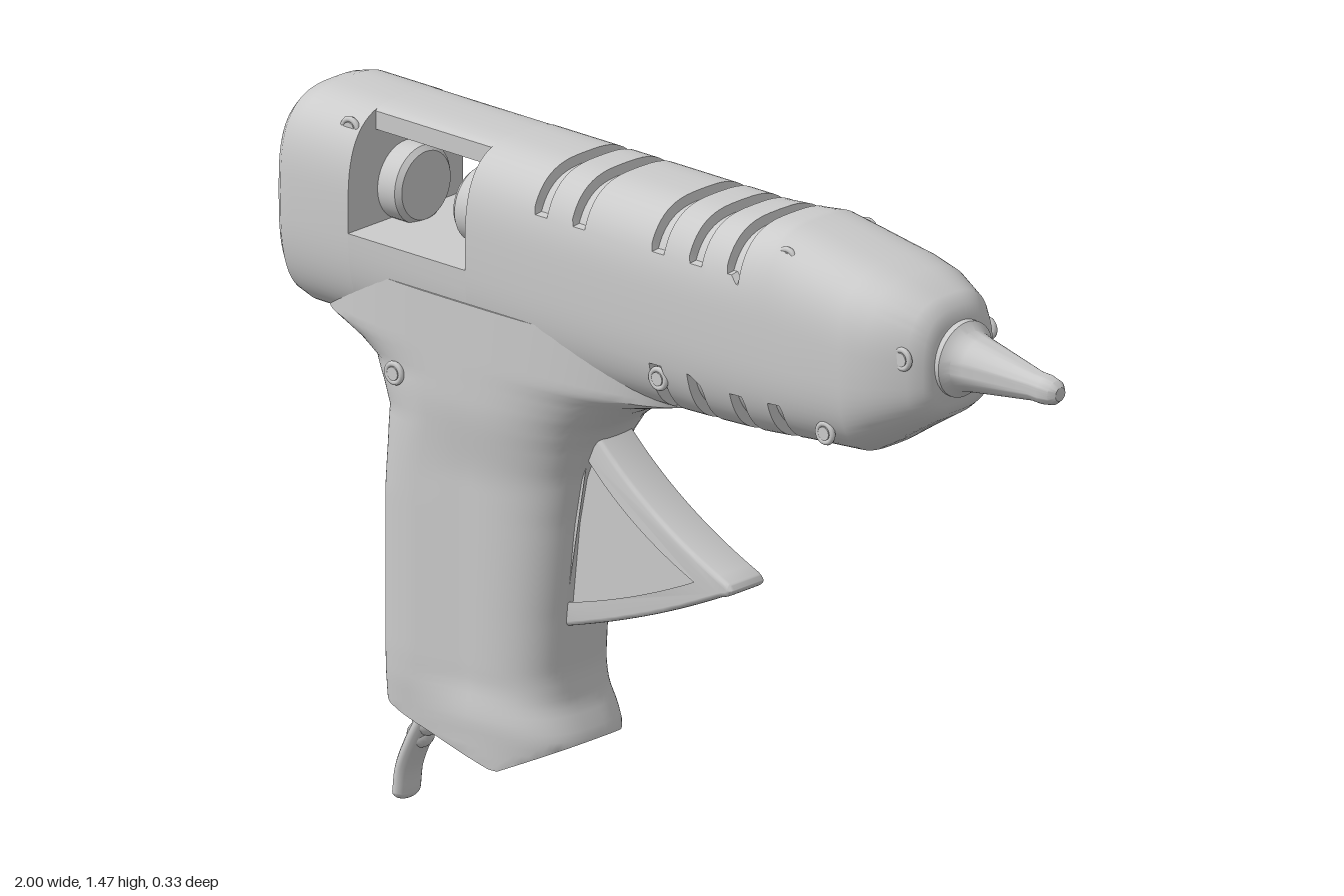
import * as THREE from 'three';
import { toCreasedNormals } from 'three/addons/utils/BufferGeometryUtils.js';

const material = new THREE.MeshStandardMaterial({ color: 0xcccccc });
const { lerp, smoothstep, clamp } = THREE.MathUtils;
const SEG = 72;

function add(parent, name, geometry, x = 0, y = 0, z = 0) {
  const mesh = new THREE.Mesh(geometry, material);
  mesh.name = name;
  mesh.position.set(x, y, z);
  parent.add(mesh);
  return mesh;
}

// Skin a list of closed rings of [x, y, z] points and cap both ends
function loft(rings, startCentre) {
  const n = rings[0].length, pos = rings.flat(2), index = [];
  const mean = r => [0, 1, 2].map(k => r.reduce((s, p) => s + p[k], 0) / n);
  const last = rings.length - 1, c0 = rings.length * n, c1 = c0 + 1;
  pos.push(...(startCentre || mean(rings[0])), ...mean(rings[last]));
  for (let j = 0; j < n; j++) {
    const k = (j + 1) % n;
    for (let i = 0; i < last; i++) {
      const a = i * n + j, b = i * n + k;
      index.push(a, a + n, b, b, a + n, b + n);
    }
    index.push(c0, j, k, c1, last * n + k, last * n + j);
  }
  const g = new THREE.BufferGeometry();
  g.setAttribute('position', new THREE.Float32BufferAttribute(pos, 3));
  g.setIndex(index);
  return toCreasedNormals(g, 0.6);
}

const power = (v, n) => Math.sign(v) * Math.abs(v) ** (2 / n);

// Look up a row of values by its first column
function sample(rows, t) {
  let i = 0;
  while (i < rows.length - 2 && t > rows[i + 1][0]) i++;
  const a = rows[i], b = rows[i + 1];
  const f = clamp((t - a[0]) / (b[0] - a[0]), 0, 1);
  return a.map((v, k) => lerp(v, b[k], f));
}

// Barrel stations: x, bottom, top, half width
const barrelRows = [
  [-0.95, 1.06, 1.4, 0.12], [-0.942, 1.03, 1.43, 0.145], [-0.925, 1.012, 1.447, 0.158],
  [-0.89, 1.003, 1.456, 0.165], [-0.43, 1.0, 1.456, 0.165], [0.2, 1.02, 1.456, 0.165],
  [0.3, 1.025, 1.465, 0.165], [0.35, 1.03, 1.472, 0.165], [0.42, 1.038, 1.46, 0.165],
  [0.56, 1.05, 1.435, 0.165], [0.62, 1.09, 1.42, 0.158], [0.7, 1.14, 1.395, 0.12],
  [0.725, 1.16, 1.375, 0.1], [0.735, 1.18, 1.35, 0.085],
];
const topGrooves = [-0.24, -0.14, 0.07, 0.17, 0.27];
const bottomGrooves = [0.07, 0.17, 0.28, 0.38];
const inGroove = (list, x) => list.some(g => Math.abs(g - x) < 0.014);

function barrelRing(x, limit) {
  const [, yb, yt, hw] = sample(barrelRows, x);
  const yc = Math.min(1.25, (yb + yt) / 2 + 0.02), ring = [];
  for (let j = 0; j < SEG; j++) {
    const t = j / SEG * Math.PI * 2;
    let z = hw * power(Math.cos(t), 3);
    const s = power(Math.sin(t), 3);
    let y = yc + s * (s > 0 ? yt - yc : yc - yb);
    if ((y > 1.37 && inGroove(topGrooves, x)) || (y < 1.12 && inGroove(bottomGrooves, x))) {
      z *= 0.91;
      y = yc + (y - yc) * 0.91;
    }
    if (limit) [y, z] = limit(y, z);
    ring.push([x, y, z]);
  }
  return ring;
}

function barrelPiece(from, to, limit) {
  const xs = [from, to, ...barrelRows.map(r => r[0])];
  for (const g of [...topGrooves, ...bottomGrooves]) xs.push(g - 0.018, g - 0.013, g + 0.013, g + 0.018);
  const used = [...new Set(xs)].filter(x => x >= from && x <= to).sort((a, b) => a - b);
  return loft(used.map(x => barrelRing(x, limit)));
}

// Handle levels: y, rear x, front x, half width, rear squareness
const handleRows = [
  [0.18, -0.68, -0.235, 0.152, 6], [0.25, -0.68, -0.226, 0.155, 6], [0.28, -0.68, -0.24, 0.158, 6],
  [0.32, -0.68, -0.262, 0.162, 6], [0.38, -0.68, -0.27, 0.164, 6], [0.5, -0.68, -0.262, 0.164, 6],
  [0.7, -0.68, -0.24, 0.164, 6], [0.8, -0.68, -0.22, 0.164, 5], [0.87, -0.686, -0.19, 0.164, 4],
  [0.92, -0.705, -0.155, 0.164, 4], [0.96, -0.745, -0.1, 0.164, 3], [0.99, -0.8, -0.04, 0.164, 3],
  [1.02, -0.88, 0.08, 0.164, 3], [1.14, -0.88, 0.12, 0.164, 3],
];

function handleGeometry() {
  const rings = [], cx = -0.47, steps = 64;
  const base = x => 0.18 + (x < -0.37 ? (-0.37 - x) * 0.28 : (x + 0.37) * 0.48);
  for (let i = 0; i <= steps; i++) {
    const level = lerp(0.18, 1.14, i / steps);
    const [, xl, xr, hw, sq] = sample(handleRows, level), ring = [];
    for (let j = 0; j < SEG; j++) {
      const t = j / SEG * Math.PI * 2, c = Math.cos(t), n = c < 0 ? sq : 2.7;
      const x = cx + power(c, n) * (c < 0 ? cx - xl : xr - cx);
      // Shallow grip hollow on both cheeks
      const hollow = smoothstep(x, -0.57, -0.5) * smoothstep(level, 0.26, 0.36) * (1 - smoothstep(level, 0.76, 0.94));
      ring.push([x, Math.max(level, base(x)), hw * power(Math.sin(t), n) * (1 - 0.1 * hollow)]);
    }
    rings.push(ring);
  }
  return loft(rings, [-0.37, 0.18, 0]);
}

// Revolve [radius, distance] points about the x axis
function turned(points) {
  const g = new THREE.LatheGeometry(points.map(p => new THREE.Vector2(...p)), 40);
  return toCreasedNormals(g.rotateZ(-Math.PI / 2), 0.6);
}

function triggerOutline(Type, [ax, ay], [bx, by], [cx, cy], tip) {
  const s = new Type();
  s.moveTo(ax, ay);
  s.quadraticCurveTo(lerp(ax, bx, 0.38), lerp(ay, by, 0.62), bx, by);
  s.quadraticCurveTo(bx + tip, by - tip * 0.6, bx - tip * 0.5, by - tip);
  s.quadraticCurveTo(lerp(bx, cx, 0.5), lerp(by, cy, 0.68), cx, cy);
  s.closePath();
  return s;
}

function slab(shape, depth, bevel) {
  const g = new THREE.ExtrudeGeometry(shape, {
    depth: depth - 2 * bevel, bevelEnabled: bevel > 0, bevelThickness: bevel, bevelSize: bevel,
    bevelOffset: -bevel, bevelSegments: 3, curveSegments: 20,
  });
  return toCreasedNormals(g.translate(0, 0, bevel - depth / 2), 0.6);
}

export function createModel() {
  const model = new THREE.Group();
  model.name = 'glueGun';

  // Barrel, split around the side windows
  add(model, 'barrelRear', barrelPiece(-0.95, -0.74));
  add(model, 'barrelFront', barrelPiece(-0.43, 0.735));
  add(model, 'windowSill', barrelPiece(-0.74, -0.43, (y, z) => [Math.min(y, 1.21), z]));
  add(model, 'windowTopBar', barrelPiece(-0.74, -0.43, (y, z) => [Math.max(y, 1.405), clamp(z, -0.085, 0.085)]));
  add(model, 'handle', handleGeometry());

  // Stick guides inside the window, rear collar and nozzle
  add(model, 'rearGuide', turned([[0, 0.06], [0, 0], [0.08, 0], [0.08, 0.05], [0.07, 0.06], [0, 0.06]].slice(1)), -0.745, 1.28);
  add(model, 'frontGuide', turned([[0, 0], [0.068, 0], [0.078, 0.012], [0.08, 0.13], [0, 0.13]]), -0.55, 1.28);
  add(model, 'rearCollar', turned([[0, 0], [0.075, 0], [0.088, 0.012], [0.09, 0.045], [0.11, 0.06], [0, 0.07]]), -1, 1.26);
  const nozzle = add(model, 'nozzle', turned([
    [0, 0], [0.078, 0], [0.078, 0.02], [0.062, 0.035], [0.056, 0.06], [0.03, 0.21], [0.03, 0.235],
    [0.025, 0.26], [0.014, 0.272], [0, 0.275],
  ]), 0.725, 1.272);
  nozzle.rotation.z = -0.045;

  // Trigger with a raised rim around a thin web
  const trigger = new THREE.Group();
  trigger.name = 'trigger';
  model.add(trigger);
  const rim = triggerOutline(THREE.Shape, [-0.21, 0.92], [0.155, 0.675], [-0.29, 0.475], 0.035);
  rim.holes.push(triggerOutline(THREE.Path, [-0.215, 0.86], [0.085, 0.662], [-0.275, 0.52], 0.012));
  add(trigger, 'triggerRim', slab(rim, 0.1, 0.01));
  add(trigger, 'triggerWeb', slab(triggerOutline(THREE.Shape, [-0.22, 0.89], [0.12, 0.668], [-0.29, 0.5], 0.02), 0.075, 0));

  // Screws: a ring and a sunken head
  const screws = [
    [-0.62, 0.95, 0.162], [-0.47, 0.29, 0.145], [0.07, 1.105, 0.15], [0.51, 1.1, 0.148], [-0.77, 1.41, 0.125],
    [0.38, 1.42, 0.115], [0.38, 1.42, -0.115], [0.51, 1.1, -0.148], [0.69, 1.29, 0.122], [0.69, 1.29, -0.122],
  ];
  for (const [x, y, z] of screws) {
    add(model, 'screwRing', new THREE.TorusGeometry(0.019, 0.006, 8, 20), x, y, z);
    add(model, 'screwHead', new THREE.CylinderGeometry(0.014, 0.014, 0.012, 16).rotateX(Math.PI / 2), x, y, z);
  }

  // Power cord with a ribbed strain relief
  const cord = new THREE.Group();
  cord.name = 'cord';
  cord.scale.z = 1.9;
  model.add(cord);
  const path = new THREE.CatmullRomCurve3([[-0.62, 0.27], [-0.665, 0.2], [-0.705, 0.13], [-0.73, 0.07], [-0.737, 0.019]]
    .map(([x, y]) => new THREE.Vector3(x, y, 0)));
  add(cord, 'cordCable', new THREE.TubeGeometry(path, 32, 0.019, 16));
  add(cord, 'cordEnd', new THREE.SphereGeometry(0.019, 16, 12), -0.737, 0.019);
  for (const t of [0.1, 0.22, 0.34, 0.46]) {
    const p = path.getPoint(t), r = lerp(0.042, 0.026, t * 2);
    const rib = add(cord, 'strainReliefRib', new THREE.SphereGeometry(r, 20, 12), p.x, p.y);
    rib.scale.z = 0.55;
  }
  return model;
}
